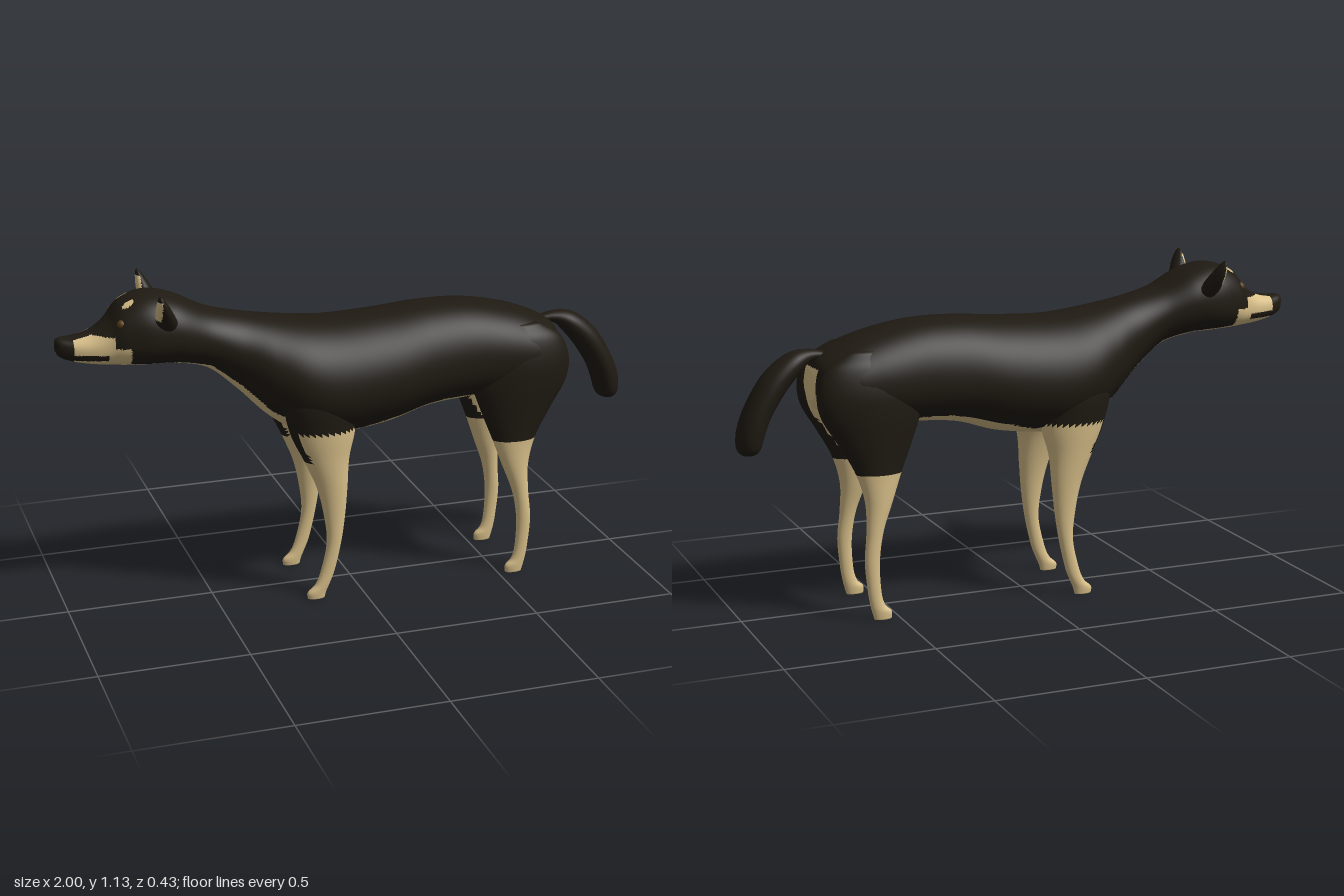
import * as THREE from 'three';

const DARK = new THREE.MeshStandardMaterial({ color: 0x1f1a12 });
const TAN = new THREE.MeshStandardMaterial({ color: 0xd9c08a });

// Smooth spline through rows of numbers; t runs from 0 to 1
function spline(rows) {
  const size = rows[0].length;
  const curve = new THREE.CubicInterpolant(rows.map((_, i) => i), rows.flat(), size, new Array(size));
  return t => Array.from(curve.evaluate(t * (rows.length - 1)));
}

// Piecewise linear height along x
function heightAt(points, x) {
  for (let i = 1; i < points.length; i++) {
    const [x0, y0] = points[i - 1], [x1, y1] = points[i];
    if (x <= x1) return y0 + (y1 - y0) * (x - x0) / (x1 - x0);
  }
  return points[points.length - 1][1];
}

// Closed loft, divided into dark and tan coat by a rule on each face centre
function coatedLoft(name, rows, ring, isTan, along, around, side = 1) {
  const at = spline(rows), pos = [], faces = [];
  for (let i = 0; i <= along; i++) {
    const row = at(i / along), centre = [0, 0, 0];
    for (let j = 0; j < around; j++) {
      const p = ring(row, (j / around) * Math.PI * 2);
      p[2] *= side;
      pos.push(...p);
      p.forEach((v, k) => { centre[k] += v / around; });
    }
    pos.push(...centre);
  }
  const n = around + 1;
  const face = (a, b, c) => faces.push(side > 0 ? [a, b, c] : [a, c, b]);
  for (let j = 0; j < around; j++) {
    const k = (j + 1) % around, last = along * n;
    face(around, k, j);
    face(last + around, last + j, last + k);
    for (let i = 0; i < along; i++) {
      const a = i * n + j, b = a + n, c = i * n + k, d = c + n;
      face(a, c, b);
      face(b, c, d);
    }
  }
  const whole = new THREE.BufferGeometry();
  whole.setAttribute('position', new THREE.Float32BufferAttribute(pos, 3));
  whole.setIndex(faces.flat());
  whole.computeVertexNormals();

  const group = new THREE.Group();
  group.name = name;
  const mean = (f, k) => (pos[f[0] * 3 + k] + pos[f[1] * 3 + k] + pos[f[2] * 3 + k]) / 3;
  const tan = faces.map(f => isTan(mean(f, 0), mean(f, 1), Math.abs(mean(f, 2))));
  for (const [label, material, pick] of [['DarkCoat', DARK, false], ['TanCoat', TAN, true]]) {
    const part = faces.filter((_, i) => tan[i] === pick);
    if (!part.length) continue;
    const geometry = whole.clone();
    geometry.setIndex(part.flat());
    const mesh = new THREE.Mesh(geometry, material);
    mesh.name = name + label;
    group.add(mesh);
  }
  return group;
}

const power = (v, n) => Math.sign(v) * Math.abs(v) ** n;

// Upright section: [x, top, widest level, bottom, half width, squareness]
const bodyRing = ([x, top, mid, bottom, w, n], a) => {
  const c = power(Math.cos(a), n);
  return [x, mid + c * (c > 0 ? top - mid : mid - bottom), w * power(Math.sin(a), n)];
};

// Level section: [y, front x, back x, inner z, outer z]
const legRing = ([y, x0, x1, z0, z1], a) =>
  [(x0 + x1) / 2 + Math.cos(a) * (x1 - x0) / 2, y, (z0 + z1) / 2 + Math.sin(a) * (z1 - z0) / 2];

// Tail section: [x, y, slope, thickness, half width]
const tailRing = ([x, y, slope, r, w], a) =>
  [x - Math.sin(slope) * r * Math.cos(a), y + Math.cos(slope) * r * Math.cos(a), w * Math.sin(a)];

const BODY = [
  [-1.0, 0.962, 0.945, 0.925, 0.012, 0.9],
  [-0.985, 0.97, 0.94, 0.905, 0.032, 0.85],
  [-0.94, 0.972, 0.93, 0.888, 0.054, 0.85],
  [-0.88, 0.985, 0.93, 0.877, 0.076, 0.85],
  [-0.83, 1.02, 0.94, 0.872, 0.094, 0.85],
  [-0.78, 1.077, 0.955, 0.868, 0.118, 0.85],
  [-0.70, 1.102, 0.965, 0.864, 0.138, 0.85],
  [-0.61, 1.085, 0.965, 0.857, 0.135, 0.9],
  [-0.50, 1.032, 0.93, 0.825, 0.117, 0.95],
  [-0.40, 1.005, 0.875, 0.74, 0.13, 1],
  [-0.30, 0.985, 0.81, 0.64, 0.172, 1],
  [-0.20, 0.97, 0.76, 0.575, 0.208, 1],
  [-0.08, 0.96, 0.735, 0.555, 0.217, 1],
  [0.10, 0.967, 0.75, 0.575, 0.207, 1],
  [0.25, 0.978, 0.77, 0.62, 0.19, 0.95],
  [0.40, 0.975, 0.78, 0.635, 0.182, 0.92],
  [0.55, 0.947, 0.78, 0.64, 0.182, 0.92],
  [0.65, 0.912, 0.78, 0.66, 0.172, 0.92],
  [0.72, 0.875, 0.78, 0.69, 0.13, 0.95],
  [0.748, 0.83, 0.775, 0.73, 0.06, 1],
];

// Lower edge of the dark coat
const COAT_LINE = [[-0.8, 0.885], [-0.6, 0.872], [-0.5, 0.85], [-0.4, 0.772], [-0.3, 0.675],
  [-0.2, 0.635], [0, 0.59], [0.2, 0.645], [0.3, 0.665], [0.45, 0.665], [0.6, 0.72], [0.7, 0.76]];

function bodyIsTan(x, y, z) {
  if (x < -0.945) return false;
  if (Math.hypot((x + 0.765) / 1.4, z - 0.052) < 0.014 && y > 1) return true; // brow spots
  if (x < -0.84 && y > 0.9 && y < 0.92) return false; // lips
  if (x < -0.82 && y > 0.9) return y < 0.98 && z > 0.03; // muzzle
  if (x < -0.77) return y < 0.945; // cheek
  if (x > 0.69) return z < 0.065 && y < 0.84; // rump
  return y < heightAt(COAT_LINE, x);
}

const FRONT_LEG = [
  [0.80, -0.22, -0.06, 0.10, 0.17],
  [0.72, -0.27, -0.03, 0.06, 0.205],
  [0.60, -0.25, -0.025, 0.055, 0.2],
  [0.50, -0.205, -0.048, 0.083, 0.19],
  [0.40, -0.163, -0.056, 0.105, 0.181],
  [0.30, -0.14, -0.065, 0.12, 0.174],
  [0.20, -0.131, -0.08, 0.13, 0.17],
  [0.10, -0.152, -0.103, 0.134, 0.167],
  [0.05, -0.172, -0.122, 0.134, 0.167],
  [0.022, -0.2, -0.134, 0.133, 0.167],
  [0, -0.2, -0.14, 0.135, 0.165],
];

const HIND_LEG = [
  [0.90, 0.50, 0.64, 0.09, 0.13],
  [0.85, 0.43, 0.722, 0.055, 0.165],
  [0.77, 0.405, 0.755, 0.042, 0.184],
  [0.69, 0.405, 0.745, 0.045, 0.185],
  [0.60, 0.435, 0.692, 0.062, 0.178],
  [0.50, 0.475, 0.636, 0.082, 0.17],
  [0.40, 0.512, 0.607, 0.1, 0.169],
  [0.30, 0.549, 0.607, 0.12, 0.168],
  [0.20, 0.565, 0.616, 0.13, 0.168],
  [0.10, 0.562, 0.608, 0.134, 0.166],
  [0.05, 0.55, 0.6, 0.134, 0.166],
  [0.025, 0.527, 0.594, 0.133, 0.167],
  [0, 0.527, 0.587, 0.135, 0.165],
];

const EAR = [
  [1.126, -0.688, -0.682, 0.164, 0.18],
  [1.115, -0.692, -0.672, 0.15, 0.188],
  [1.09, -0.695, -0.655, 0.127, 0.188],
  [1.055, -0.695, -0.635, 0.1, 0.174],
  [1.02, -0.69, -0.62, 0.085, 0.152],
  [0.99, -0.67, -0.63, 0.09, 0.13],
];

const TAIL = [
  [0.67, 0.872, 0.1, 0.01, 0.015],
  [0.74, 0.878, 0, 0.02, 0.028],
  [0.80, 0.855, -0.5, 0.038, 0.05],
  [0.865, 0.795, -0.85, 0.046, 0.06],
  [0.92, 0.71, -1.15, 0.046, 0.062],
  [0.948, 0.64, -1.35, 0.046, 0.06],
  [0.957, 0.59, -1.5, 0.041, 0.052],
  [0.958, 0.568, -1.57, 0.027, 0.034],
  [0.958, 0.56, -1.57, 0.006, 0.008],
];

export function createModel() {
  const dog = new THREE.Group();
  dog.name = 'dog';
  dog.add(coatedLoft('body', BODY, bodyRing, bodyIsTan, 220, 96));
  dog.add(coatedLoft('tail', TAIL, tailRing, () => false, 48, 28));

  const frontTan = (x, y, z) => y < 0.5 || (y < 0.605 && x > -0.23 + (0.59 - y) * 0.5) || z < 0.085;
  const hindTan = (x, y, z) => y < 0.49 || (y < 0.84 && z < 0.085 - Math.max(0, y - 0.7) * 0.15);
  const earTan = (x, y, z) => x < -0.681 && y > 1.04 && y < 1.11;
  const iris = new THREE.MeshStandardMaterial({ color: 0x5a3d18 });

  for (const side of [1, -1]) {
    // The animal faces -x, so its left is on +z
    const label = side > 0 ? 'left' : 'right';
    dog.add(coatedLoft(label + 'FrontLeg', FRONT_LEG, legRing, frontTan, 80, 32, side));
    dog.add(coatedLoft(label + 'HindLeg', HIND_LEG, legRing, hindTan, 90, 40, side));
    dog.add(coatedLoft(label + 'Ear', EAR, legRing, earTan, 24, 28, side));

    const eye = new THREE.Mesh(new THREE.SphereGeometry(0.015, 16, 12), iris);
    eye.name = label + 'Eye';
    eye.position.set(-0.795, 1.02, 0.083 * side);
    dog.add(eye);
  }
  return dog;
}
